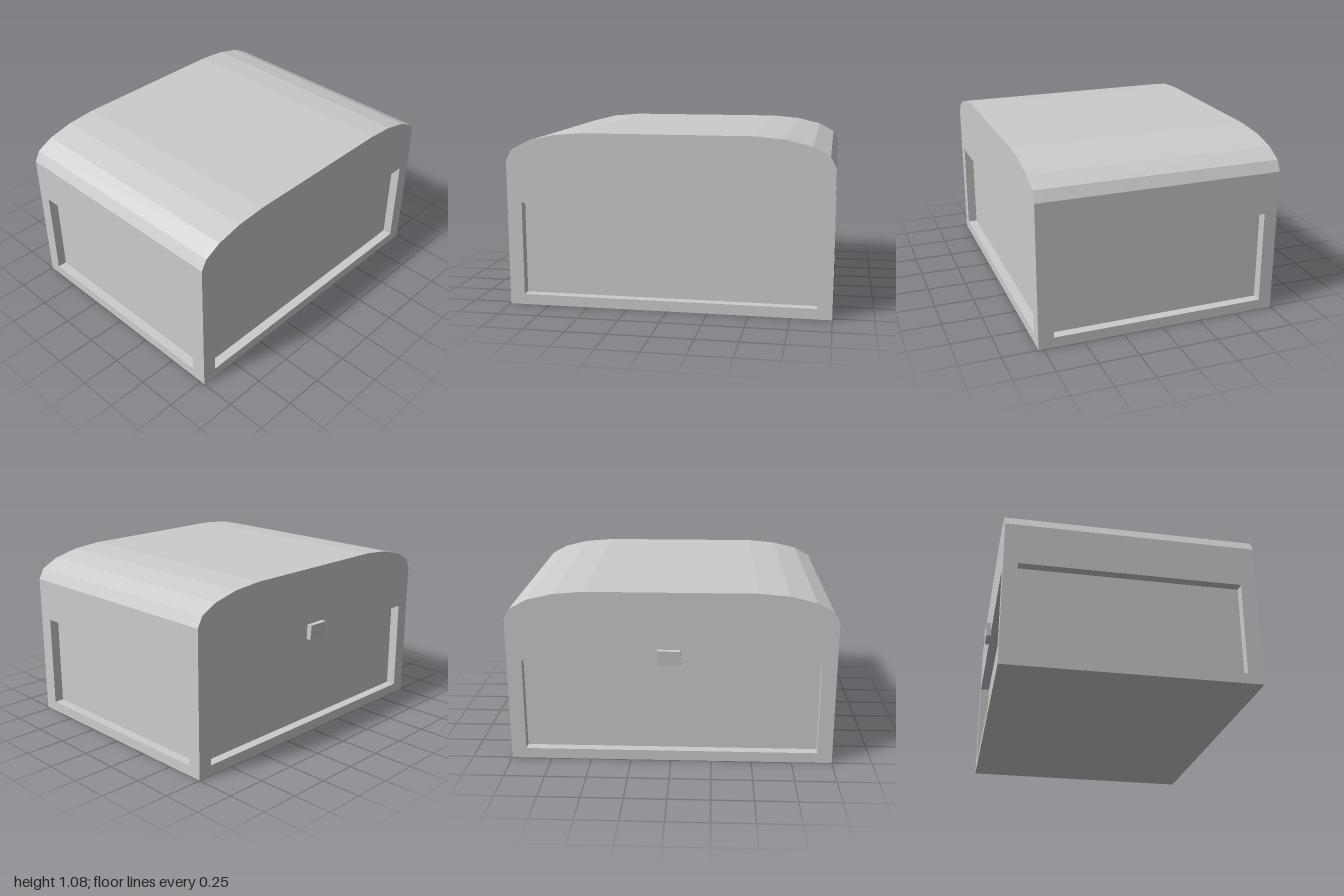
import * as THREE from 'three';

const LEFT = 0.78, RIGHT = -0.75;   // outer x faces
const INSET = 0.06;                 // recess depth
const LOW = 0.065, HIGH = 0.648;    // recess heights

// Half of the arched roof line, as [z, y]
const ROOF = [[1, 0.91], [0.965, 0.975], [0.862, 1.03], [0.705, 1.068], [0.52, 1.084]];

// Closed side profile; notched profiles carry the front and back recesses
function profile(notched) {
  const wall = notched
    ? [[1, 0], [1, LOW], [1 - INSET, LOW], [1 - INSET, HIGH], [1, HIGH]]
    : [[1, 0]];
  const half = [...wall, ...ROOF];
  const mirrored = half.map(([z, y]) => [-z, y]).reverse();
  return new THREE.Shape([...half, ...mirrored].map(([z, y]) => new THREE.Vector2(z, y)));
}

// Extrudes a side profile along x between two positions
function extrudeX(shape, x0, x1) {
  const geo = new THREE.ExtrudeGeometry(shape, { depth: x1 - x0, bevelEnabled: false });
  return geo.rotateY(Math.PI / 2).translate(x0, 0, 0);
}

export function createModel() {
  const group = new THREE.Group();
  const grey = new THREE.MeshStandardMaterial({ color: 0xcccccc });
  grey.name = 'light grey';

  const add = (name, geo) => {
    const mesh = new THREE.Mesh(geo, grey);
    mesh.name = name;
    group.add(mesh);
    return mesh;
  };

  // Arched body between the side walls
  const innerLeft = LEFT - INSET, innerRight = RIGHT + INSET;
  add('body', extrudeX(profile(true), innerRight, innerLeft));

  // Side walls, each with a rectangular opening that forms the recess
  const wall = profile(false);
  const w = 0.908;
  wall.holes.push(new THREE.Path([[-w, LOW], [-w, HIGH], [w, HIGH], [w, LOW]]
    .map(([z, y]) => new THREE.Vector2(z, y))));
  add('leftWall', extrudeX(wall, innerLeft, LEFT));
  add('rightWall', extrudeX(wall, RIGHT, innerRight));

  // Posts closing the ends of the front and back recesses
  for (const [end, sign] of [['front', 1], ['back', -1]]) {
    for (const [side, x0, x1] of [['Left', 0.685, innerLeft], ['Right', innerRight, -0.665]]) {
      const post = add(`${end}${side}Post`, new THREE.BoxGeometry(x1 - x0, HIGH - LOW, INSET));
      post.position.set((x0 + x1) / 2, (LOW + HIGH) / 2, sign * (1 - INSET / 2));
    }
  }

  // Small tapered latch on the right side
  const latch = new THREE.Shape([[-0.745, 0.635], [-0.745, 0.73], [-0.785, 0.73], [-0.778, 0.635]]
    .map(([x, y]) => new THREE.Vector2(x, y)));
  add('latch', new THREE.ExtrudeGeometry(latch, { depth: 0.14, bevelEnabled: false }))
    .position.z = -0.08;

  return group;
}
